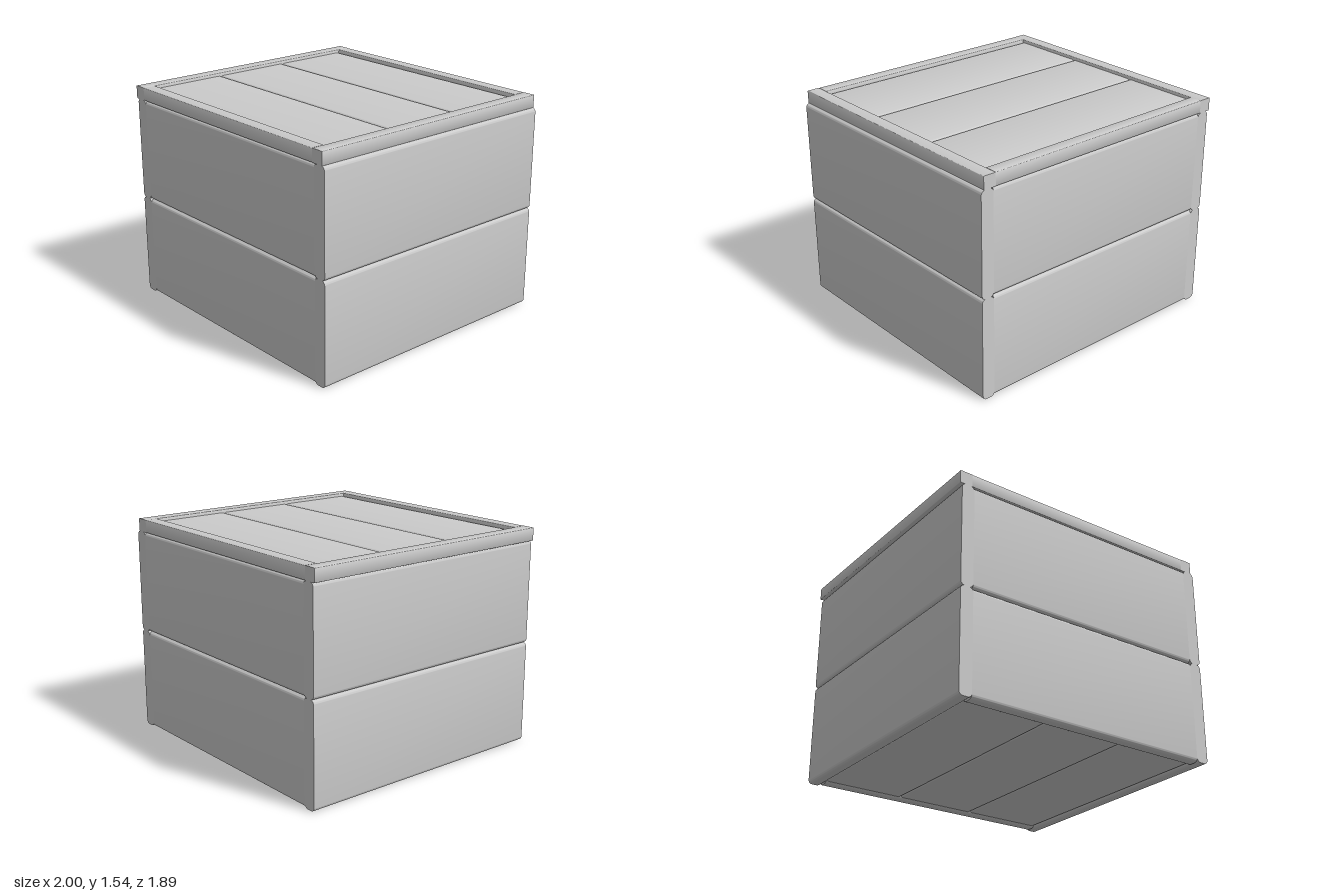
import * as THREE from 'three';
import { toCreasedNormals } from 'three/addons/utils/BufferGeometryUtils.js';

const material = new THREE.MeshStandardMaterial({ color: 0xcccccc });

// Rounded rectangle centred on the origin
function roundedRect(w, h, r) {
  const s = new THREE.Shape();
  const x = w / 2 - r, y = h / 2 - r;
  s.absarc(x, y, r, 0, Math.PI / 2);
  s.absarc(-x, y, r, Math.PI / 2, Math.PI);
  s.absarc(-x, -y, r, Math.PI, Math.PI * 1.5);
  s.absarc(x, -y, r, Math.PI * 1.5, Math.PI * 2);
  s.closePath();
  return s;
}

// Plank filling the given x, y and z ranges, its long edges rounded along one axis
function plank(name, axis, [x0, x1], [y0, y1], [z0, z1], radius) {
  const sx = x1 - x0, sy = y1 - y0, sz = z1 - z0;
  const depth = axis === 'x' ? sx : sz;
  let geo = new THREE.ExtrudeGeometry(roundedRect(axis === 'x' ? sz : sx, sy, radius), {
    depth, bevelEnabled: false, curveSegments: 6,
  });
  geo.translate(0, 0, -depth / 2);
  if (axis === 'x') geo.rotateY(Math.PI / 2);
  geo = toCreasedNormals(geo, 0.6);
  const mesh = new THREE.Mesh(geo, material);
  mesh.name = name;
  mesh.position.set((x0 + x1) / 2, (y0 + y1) / 2, (z0 + z1) / 2);
  return mesh;
}

export function createModel() {
  const crate = new THREE.Group();
  crate.name = 'crate';
  const add = (...args) => crate.add(plank(...args));
  const R = 0.028, D = 0.943, IN = 0.853;

  // Walls: two courses of planks on each side
  for (let i = 0; i < 2; i++) {
    const y = [i * 0.724, (i + 1) * 0.724];
    add('leftWallPlank', 'z', [0.907, 1], y, [-D, D], R);
    add('rightWallPlank', 'z', [-0.985, -0.893], y, [-D, D], R);
    add('frontWallPlank', 'x', [-0.893, 0.907], y, [IN, D], R);
    add('backWallPlank', 'x', [-0.893, 0.907], y, [-D, -IN], R);
  }

  // Floor planks run front to back, lid planks run side to side
  const floorStep = 1.8 / 3, lidStep = (2 * IN) / 3;
  for (let i = 0; i < 3; i++) {
    const x = -0.893 + i * floorStep, z = -IN + i * lidStep;
    add('floorPlank', 'z', [x, x + floorStep], [0.012, 0.102], [-IN, IN], 0.02);
    add('lidPlank', 'x', [-0.91, 0.89], [1.425, 1.515], [z, z + lidStep], 0.02);
  }

  // Square-edged rim around the lid, set slightly towards the right
  const rim = [1.448, 1.538];
  add('rimRight', 'z', [-1, -0.91], rim, [-D, D], 0.004);
  add('rimLeft', 'z', [0.89, 0.98], rim, [-D, D], 0.004);
  add('rimFront', 'x', [-0.91, 0.89], rim, [IN, D], 0.004);
  add('rimBack', 'x', [-0.91, 0.89], rim, [-D, -IN], 0.004);

  return crate;
}
